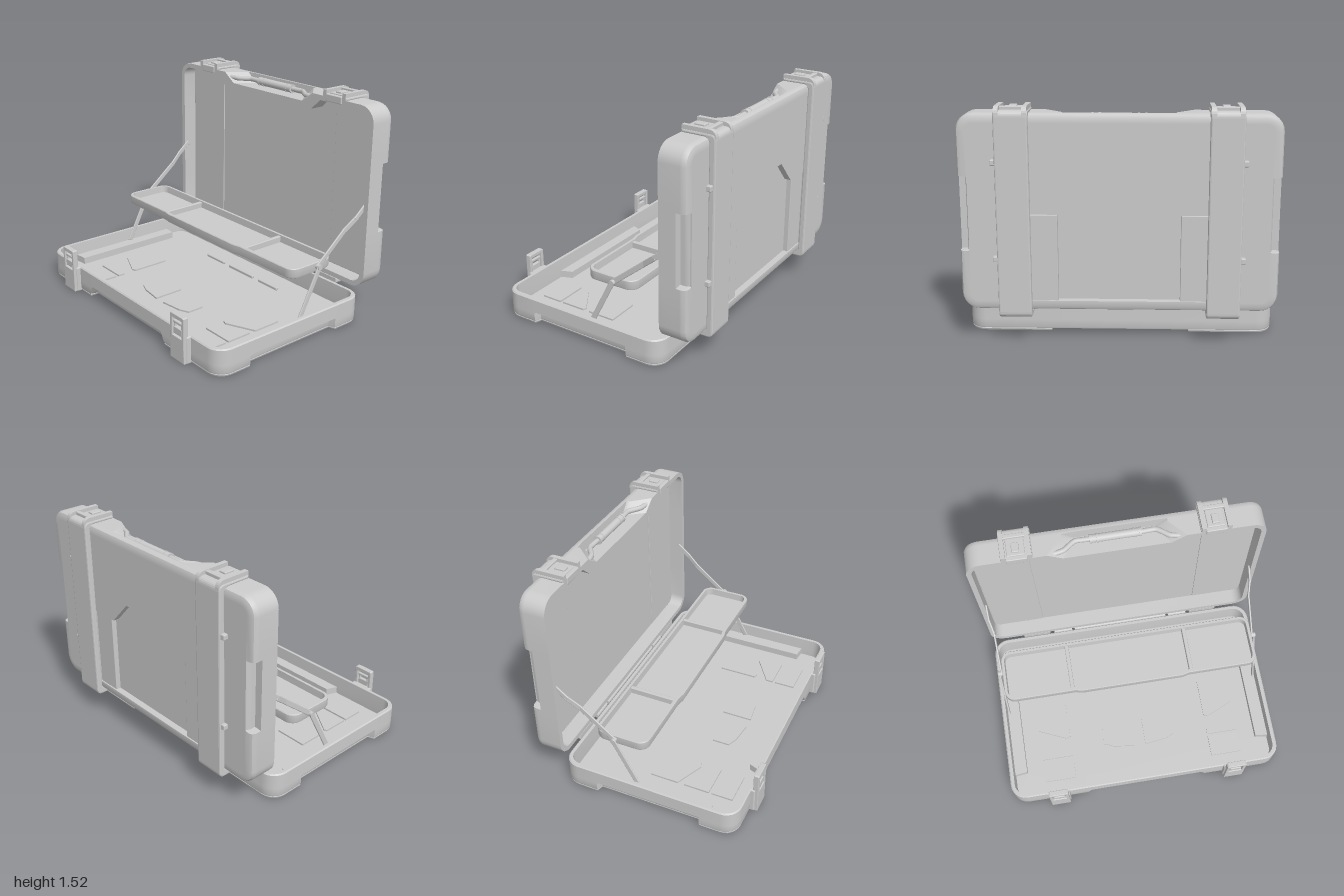
import * as THREE from 'three';
import { toCreasedNormals } from 'three/addons/utils/BufferGeometryUtils.js';
import { RoundedBoxGeometry } from 'three/addons/geometries/RoundedBoxGeometry.js';

const material = new THREE.MeshStandardMaterial({ color: 0xcccccc });
const FLAT = [0.1, 0.09, 0];

// Rounded rectangle in x/z, counter-clockwise from above.
// f = front notch, s = notch on both sides: [outer half, inner half, depth]
function ring(w, d, r, inset, { f = FLAT, s = FLAT } = {}) {
  const W = w - inset, D = d - inset, rad = Math.max(r - inset, 0.015), pts = [];
  for (let k = 0; k < 4; k++) {
    const [L, O] = k % 2 ? [D, W] : [W, D];
    const [ho, hi, dep] = [f, s, FLAT, s][k];
    const uv = [[-ho, O], [-hi, O - dep], [hi, O - dep], [ho, O]];
    for (let i = 0; i <= 6; i++) {
      const a = Math.PI / 2 * (1 - i / 6);
      uv.push([L - rad + rad * Math.cos(a), O - rad + rad * Math.sin(a)]);
    }
    for (const [u, v] of uv) pts.push([[u, v], [v, -u], [-u, -v], [-v, u]][k]);
  }
  return pts;
}

// Shell through stacked rings, closed at both ends.
// Each layer is [y, inset, notches]
function shell(w, d, r, layers) {
  const rings = layers.map(([, inset, o]) => ring(w, d, r, inset, o));
  const n = rings[0].length, pos = [], idx = [];
  rings.forEach((pts, j) => pts.forEach(([x, z]) => pos.push(x, layers[j][0], z)));
  for (let j = 0; j < rings.length - 1; j++) {
    for (let i = 0; i < n; i++) {
      const a = j * n + i, b = j * n + (i + 1) % n;
      idx.push(a, b, b + n, a, b + n, a + n);
    }
  }
  const cap = (j, flip) => {
    const tris = THREE.ShapeUtils.triangulateShape(rings[j].map(([x, z]) => new THREE.Vector2(x, -z)), []);
    for (const [a, b, c] of tris) idx.push(...(flip ? [a, c, b] : [a, b, c]).map((i) => i + j * n));
  };
  cap(0, true);
  cap(rings.length - 1, false);
  const g = new THREE.BufferGeometry();
  g.setAttribute('position', new THREE.Float32BufferAttribute(pos, 3));
  g.setIndex(idx);
  return toCreasedNormals(g, 0.6);
}

const points = (pts) => pts.map(([x, y]) => new THREE.Vector2(x, y));

function extrude(shape, depth, bevel = 0) {
  return new THREE.ExtrudeGeometry(shape, {
    depth, bevelEnabled: bevel > 0, bevelSize: bevel, bevelThickness: bevel, bevelOffset: -bevel, bevelSegments: 2, curveSegments: 6,
  });
}

export function createModel() {
  const model = new THREE.Group();
  const add = (name, geometry, x = 0, y = 0, z = 0) => {
    const mesh = new THREE.Mesh(geometry, material);
    mesh.name = name;
    mesh.position.set(x, y, z);
    model.add(mesh);
    return mesh;
  };
  // Box given by its extents
  const box = (name, x0, x1, y0, y1, z0, z1, r = 0.006) => add(name,
    new RoundedBoxGeometry(x1 - x0, y1 - y0, z1 - z0, 2, r), (x0 + x1) / 2, (y0 + y1) / 2, (z0 + z1) / 2);
  // Thin plate lying on a floor, outlined in x/z
  const plate = (name, pts, y, h, bevel = 0) => add(name,
    extrude(new THREE.Shape(points(pts.map(([x, z]) => [x, -z]))), h, bevel).rotateX(-Math.PI / 2), 0, y, 0);

  // Lower case with front and side recesses and inner ledges
  const side0 = [0.375, 0.36, 0], side1 = [0.375, 0.36, 0.045];
  const frontLow = [0.455, 0.445, 0.05], frontHigh = [0.42, 0.41, 0.05], frontOff = [0.42, 0.41, 0];
  const closed = { f: frontOff, s: side0 };
  const ledge = { f: [0.46, 0.43, 0.08], s: [0.43, 0.42, 0.09] };
  const ledgeOff = { f: [0.46, 0.43, 0], s: [0.43, 0.42, 0] };
  add('lowerCase', shell(1, 0.63, 0.11, [
    [0.02, 0.004, { f: frontLow, s: side1 }], [0.03, 0, { f: [0.445, 0.435, 0.05], s: side1 }],
    [0.08, 0, { f: frontHigh, s: side1 }], [0.09, 0, closed], [0.182, 0, closed], [0.19, 0.008, closed],
    [0.19, 0.03, ledgeOff], [0.1, 0.035, ledgeOff], [0.1, 0.035, ledge], [0.05, 0.035, ledge],
  ]), 0, 0, 0.09);

  // Raised runners under the lower case, leaving a channel between
  const runner = ring(1, 0.63, 0.11, 0.003, { s: side1 }).filter(([x]) => x > 0.46);
  runner.push([0.45, -0.627], [0.45, 0.627]);
  for (const s of [-1, 1]) plate('bottomRunner', runner.map(([x, z]) => [s * x, z + 0.09]), 0.014, 0.002, 0.014);

  // Pressed panels and ribs on the lower case floor
  const panels = [
    [[0.27, 0.26], [0.06, 0.2], [0.04, 0.21], [0.04, 0.43], [0.2, 0.41], [0.27, 0.38]],
    [[0.75, 0.0], [0.75, 0.2], [0.55, 0.29], [0.52, 0.28], [0.52, 0.0]],
    [[0.75, 0.25], [0.73, 0.24], [0.52, 0.38], [0.52, 0.43], [0.75, 0.43]],
    [[0.75, 0.45], [0.52, 0.45], [0.52, 0.6], [0.75, 0.6]],
  ];
  for (const s of [-1, 1]) {
    for (const p of panels) plate('floorPanel', p.map(([x, z]) => [s * x, z]), 0.049, 0.013);
  }
  for (const [a, b] of [[-0.4, -0.2], [-0.14, 0.13], [0.19, 0.39]]) box('floorRib', a, b, 0.048, 0.07, -0.345, -0.32);

  // Upright lid with a handle recess in its top edge
  const side = [0.24, 0.235, 0.05], sideOff = [0.24, 0.235, 0];
  const gripOff = { f: [0.35, 0.27, 0], s: side }, gripOn = { f: [0.35, 0.27, 0.07], s: side };
  const inner = { f: [0.53, 0.45, 0.075], s: sideOff };
  const lid = shell(1, 0.63, 0.11, [
    [0.045, 0.06, { f: gripOff.f, s: sideOff }], [0, 0.06, { f: gripOff.f, s: sideOff }], [0, 0.03, gripOff],
    [0.009, 0.01, gripOff], [0.03, 0, gripOff], [0.045, 0, gripOff], [0.05, 0, gripOn], [0.07, 0, gripOn],
    [0.07, 0, { f: gripOn.f, s: sideOff }], [0.19, 0, { f: [0.46, 0.36, 0.07], s: sideOff }],
    [0.19, 0.035, inner], [0.08, 0.035, inner],
  ]);
  add('lid', lid.rotateX(Math.PI / 2).rotateZ(Math.PI), 0, 0.85, -0.73);
  for (const s of [-1, 1]) box('lidLining', s * 0.775 - 0.185, s * 0.775 + 0.185, 0.262, 1.44, -0.655, -0.643, 0.002);

  // Lid back plate with a stepped recess and side columns
  const back = new THREE.Shape(points(ring(1, 0.63, 0.11, 0.06).map(([x, z]) => [x, z + 0.85])));
  const half = [[0.56, 0.285], [0.56, 0.85], [0.35, 0.85], [0.19, 1.02]];
  back.holes.push(new THREE.Path(points([...half, ...half.map(([x, y]) => [-x, y]).reverse()])));
  add('lidBackPlate', extrude(back, 0.045), 0, 0, -0.73);
  for (const s of [-1, 1]) box('lidBackColumn', s * 0.475 - 0.09, s * 0.475 + 0.09, 0.28, 0.845, -0.72, -0.68, 0.004);

  // Straps wrapped around the lid, with catch housings on top
  const strap = new THREE.Shape();
  strap.moveTo(0.54, 0.18).lineTo(0.73, 0.18).quadraticCurveTo(0.77, 0.18, 0.77, 0.22);
  strap.lineTo(0.77, 1.46).quadraticCurveTo(0.77, 1.5, 0.73, 1.5).lineTo(0.54, 1.5);
  strap.lineTo(0.54, 1.475).lineTo(0.7, 1.475).lineTo(0.725, 1.45).lineTo(0.725, 0.24).lineTo(0.7, 0.215).lineTo(0.54, 0.215);
  const rail = new THREE.Shape();
  rail.moveTo(0.54, 1.47).lineTo(0.77, 1.47).quadraticCurveTo(0.77, 1.525, 0.72, 1.525).lineTo(0.54, 1.525);
  for (const s of [-1, 1]) {
    const c = s * 0.655;
    add('lidStrap', extrude(strap, 0.19, 0.01).rotateY(Math.PI / 2).translate(-0.095, 0, 0), c);
    for (const t of [-1, 1]) {
      add('catchRail', extrude(rail, 0.03).rotateY(Math.PI / 2).translate(-0.015, 0, 0), c + t * 0.085);
    }
    box('catchPlate', c - 0.06, c + 0.06, 1.49, 1.508, -0.69, -0.56);
    box('catchBridge', c - 0.08, c + 0.08, 1.49, 1.522, -0.715, -0.685);
    box('catchHook', c - 0.025, c + 0.025, 1.5, 1.52, -0.65, -0.58);
    box('catchLip', c - 0.07, c + 0.07, 1.45, 1.5, -0.56, -0.532);
    for (const y of [0.565, 1.18]) box('strapClip', s * 0.772 - 0.016, s * 0.772 + 0.016, y - 0.018, y + 0.018, -0.76, -0.72);
  }

  // Carry handle
  const handle = [[-0.42, -0.565], [-0.35, -0.58], [-0.27, -0.635], [-0.17, -0.635],
    [0.17, -0.635], [0.27, -0.635], [0.35, -0.58], [0.42, -0.565]];
  const curve = new THREE.CatmullRomCurve3(handle.map(([x, z]) => new THREE.Vector3(x, 1.445, z)), false, 'catmullrom', 0.3);
  add('handleBar', new THREE.TubeGeometry(curve, 60, 0.018, 10));
  add('handleGrip', new THREE.CylinderGeometry(0.028, 0.028, 0.34, 20).rotateZ(Math.PI / 2), 0, 1.445, -0.635);
  for (const x of [-0.165, -0.12, 0.12, 0.165]) {
    add('gripRing', new THREE.CylinderGeometry(0.031, 0.031, 0.014, 20).rotateZ(Math.PI / 2), x, 1.445, -0.635);
  }

  // Front latches on the lower case
  const frame = new THREE.Shape(points([[-0.07, 0.005], [0.07, 0.005], [0.07, 0.315], [0.06, 0.32], [-0.06, 0.32], [-0.07, 0.315]]));
  frame.holes.push(new THREE.Path(points([[-0.048, 0.17], [-0.048, 0.292], [0.048, 0.292], [0.048, 0.17]])));
  for (const s of [-1, 1]) {
    const c = s * 0.655;
    box('latchBase', c - 0.078, c + 0.078, 0, 0.19, 0.695, 0.75, 0.012);
    add('latchFrame', extrude(frame, 0.03, 0.004), c, 0, 0.736);
    box('latchTab', c - 0.042, c + 0.042, 0.18, 0.23, 0.74, 0.765);
    box('latchBar', c - 0.05, c + 0.05, 0.25, 0.27, 0.742, 0.762);
    for (const t of [-1, 1]) box('latchLink', c + t * 0.036 - 0.006, c + t * 0.036 + 0.006, 0.21, 0.265, 0.742, 0.76, 0.004);
  }

  // Hinge between lid and lower case
  for (const [x, len] of [[-0.45, 0.14], [0, 0.72], [0.45, 0.14]]) {
    add('hinge', new THREE.CylinderGeometry(0.016, 0.016, len, 14).rotateZ(Math.PI / 2), x, 0.205, -0.545);
  }

  // Raised tray with two dividers
  const bow = { f: [0.42, 0.37, -0.012] };
  add('tray', shell(0.93, 0.187, 0.07, [
    [0.44, 0.012, bow], [0.445, 0.004, bow], [0.455, 0, bow], [0.505, 0, bow], [0.51, 0.004, bow],
    [0.51, 0.022, bow], [0.46, 0.026, bow],
  ]), 0, 0, -0.123);
  for (const x of [-0.44, 0.44]) box('trayDivider', x - 0.014, x + 0.014, 0.455, 0.502, -0.295, 0.045);

  // Folding support arms: flat bars between two points
  const bar = (a, b) => {
    const from = new THREE.Vector3(...a), to = new THREE.Vector3(...b);
    const mesh = add('supportArm', new RoundedBoxGeometry(0.012, 0.036, from.distanceTo(to) + 0.02, 2, 0.005));
    mesh.position.copy(from).add(to).multiplyScalar(0.5);
    mesh.lookAt(to);
  };
  for (const s of [-1, 1]) {
    bar([s * 0.952, 0.11, 0.032], [s * 0.952, 0.48, -0.16]);
    bar([s * 0.938, 0.48, -0.16], [s * 0.938, 0.67, -0.394]);
    bar([s * 0.938, 0.67, -0.394], [s * 0.957, 0.74, -0.48]);
    bar([s * 0.957, 0.74, -0.48], [s * 0.957, 0.81, -0.566]);
    add('armPivot', new THREE.CylinderGeometry(0.018, 0.018, 0.04, 14).rotateZ(Math.PI / 2), s * 0.943, 0.48, -0.16);
  }
  return model;
}
